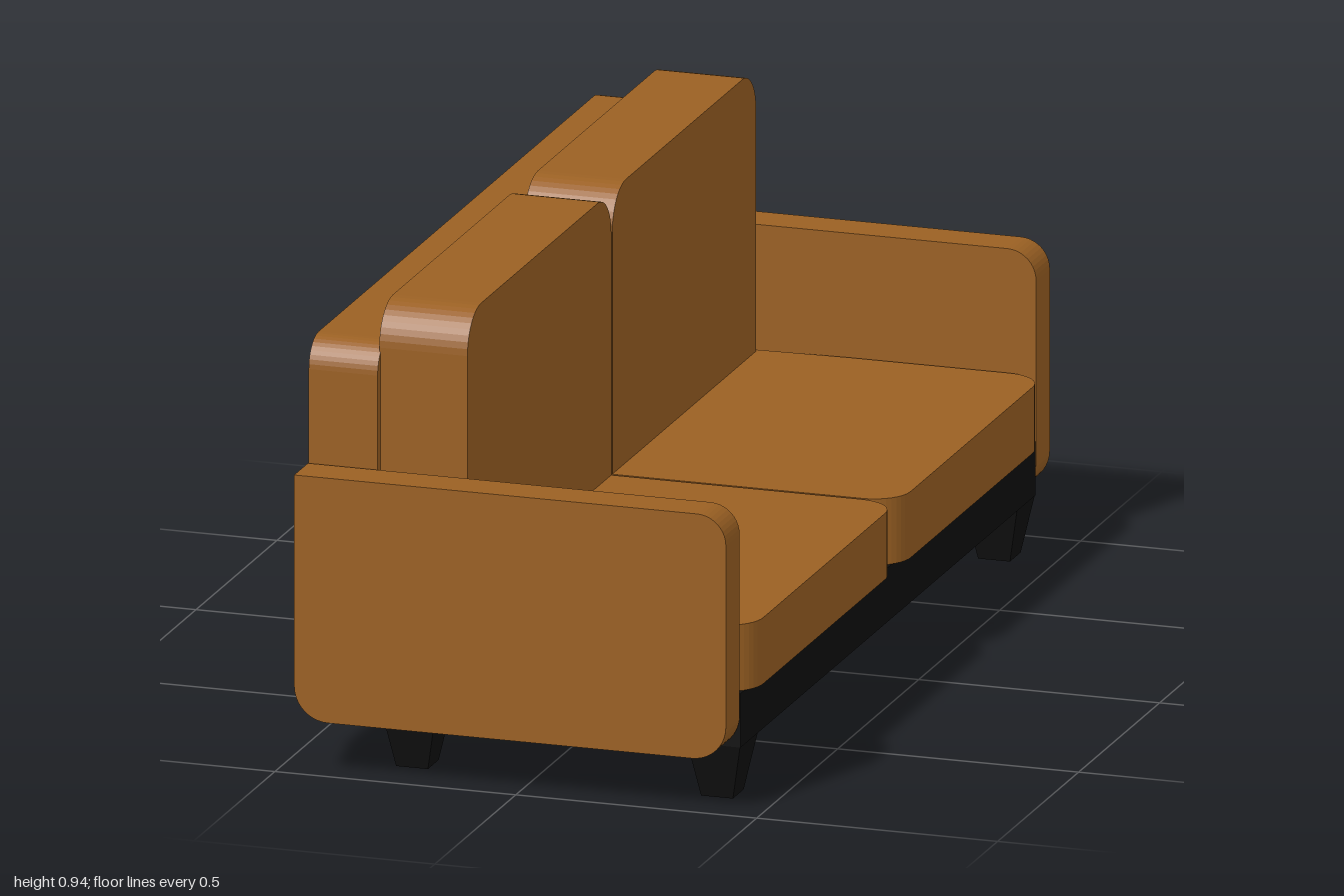
import * as THREE from 'three';

const leather = new THREE.MeshStandardMaterial({ color: 0x9a6023 });
leather.name = 'tan leather';
const black = new THREE.MeshStandardMaterial({ color: 0x0f0f0f });
black.name = 'black wood';

// Polygon whose corners [x, y, radius] are rounded; listed counter-clockwise.
function roundedShape(corners) {
  const points = corners.map(([x, y]) => new THREE.Vector2(x, y));
  const shape = new THREE.Shape();
  points.forEach((p, i) => {
    const r = corners[i][2];
    const before = points[(i + points.length - 1) % points.length];
    const after = points[(i + 1) % points.length];
    const a = before.clone().sub(p).setLength(r).add(p);
    const b = after.clone().sub(p).setLength(r).add(p);
    if (i === 0) shape.moveTo(a.x, a.y);
    else shape.lineTo(a.x, a.y);
    if (r > 0) {
      const k = 0.5523;
      const c1 = a.clone().lerp(p, k), c2 = b.clone().lerp(p, k);
      shape.bezierCurveTo(c1.x, c1.y, c2.x, c2.y, b.x, b.y);
    }
  });
  shape.closePath();
  return shape;
}

function extrude(corners, depth) {
  return new THREE.ExtrudeGeometry(roundedShape(corners), { depth, bevelEnabled: false, curveSegments: 10 });
}

// Profile drawn across z and y, extruded along x from x0 to x1.
function extrudeAlongX(corners, x0, x1) {
  return extrude(corners, x1 - x0).rotateY(Math.PI / 2).translate(x0, 0, 0);
}

export function createModel() {
  const sofa = new THREE.Group();
  sofa.name = 'sofa';
  const add = (name, geometry, material) => {
    const mesh = new THREE.Mesh(geometry, material);
    mesh.name = name;
    sofa.add(mesh);
    return mesh;
  };

  // Base frame under the seat
  add('baseFrame', new THREE.BoxGeometry(0.756, 0.111, 1.82).translate(0.058, 0.1685, 0), black);

  // Back panel with rounded outer corners
  add('backPanel', extrudeAlongX([
    [-0.91, 0.112, 0.05], [0.91, 0.112, 0.05], [0.91, 0.865, 0.06], [-0.91, 0.865, 0.06],
  ], -0.46, -0.317), leather);

  for (const side of [-1, 1]) {
    const label = side > 0 ? 'A' : 'B';

    // Armrest slab, square only at the top rear corner
    add('armrest' + label, extrude([
      [-0.46, 0.11, 0.07], [0.436, 0.11, 0.07], [0.436, 0.613, 0.06], [-0.46, 0.613, 0],
    ], 0.085).translate(0, 0, side > 0 ? 0.915 : -1), leather);

    // Back cushion
    add('backCushion' + label, extrudeAlongX([
      [-0.444, 0.34, 0], [0.444, 0.34, 0], [0.444, 0.942, 0.085], [-0.444, 0.942, 0.085],
    ], -0.32, -0.137).translate(0, 0, side * 0.447), leather);

    // Seat cushion: plan outline tapering slightly toward the rear
    const plan = [
      [-0.317, 0.003, 0], [0.457, 0.003, 0.075], [0.457, 0.908, 0.075], [0.05, 0.908, 0], [-0.317, 0.894, 0],
    ];
    const outline = side > 0 ? plan.map(([x, z, r]) => [x, -z, r]).reverse() : plan;
    add('seatCushion' + label,
      extrude(outline, 0.136).rotateX(-Math.PI / 2).translate(0, 0.224, 0), leather);

    // Tapered square legs
    for (const [name, x] of [['frontLeg', 0.38], ['rearLeg', -0.253]]) {
      const leg = new THREE.CylinderGeometry(0.055 * Math.SQRT2, 0.033 * Math.SQRT2, 0.113, 4).toNonIndexed();
      leg.rotateY(Math.PI / 4).translate(x, 0.0565, side * 0.855);
      leg.computeVertexNormals();
      add(name + label, leg, black);
    }
  }
  return sofa;
}
